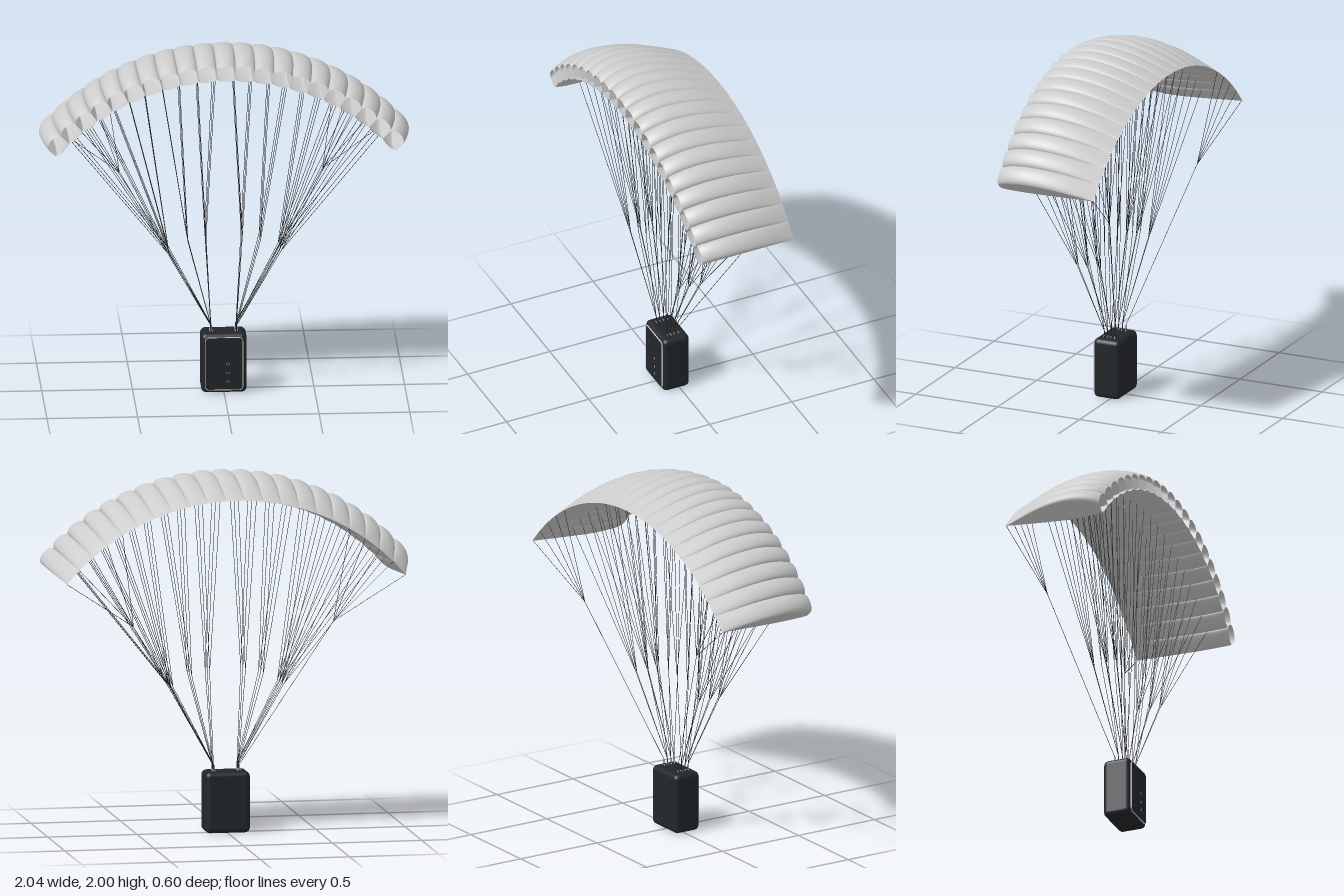
import * as THREE from 'three';
import { mergeGeometries } from 'three/addons/utils/BufferGeometryUtils.js';
import { RoundedBoxGeometry } from 'three/addons/geometries/RoundedBoxGeometry.js';

const CELLS = 21, HALF = 0.867, CY = 0.645, R = 1.245, TAIL = -0.3;
const fabric = new THREE.MeshStandardMaterial({ color: 0xcccccc, side: THREE.DoubleSide });
const dark = new THREE.MeshStandardMaterial({ color: 0x22262a });
const lineMat = new THREE.MeshStandardMaterial({ color: 0x222222 });
const trimMat = new THREE.MeshStandardMaterial({ color: 0xcccccc });

// Wing section: radial offsets along the chord (s = 0 nose, s = 1 tail)
const curve = (pts) => {
  const c = new THREE.SplineCurve(pts.map(([x, y]) => new THREE.Vector2(x, y)));
  const samples = c.getPoints(120);
  return (s) => {
    let i = 1;
    while (i < samples.length - 1 && samples[i].x < s) i++;
    const a = samples[i - 1], b = samples[i];
    return a.y + (b.y - a.y) * THREE.MathUtils.clamp((s - a.x) / (b.x - a.x), 0, 1);
  };
};
const upper = curve([[0, 0.064], [0.08, 0.087], [0.2, 0.105], [0.33, 0.11], [0.5, 0.1], [0.68, 0.074], [0.85, 0.037], [1, 0]]);
const lower = curve([[0, -0.012], [0.08, -0.022], [0.3, -0.027], [0.6, -0.018], [1, 0]]);
const puffAt = (s, u) => Math.sqrt(Math.max(0, 1 - (2 * u - 1) ** 2)) * Math.pow(1 - s, 0.6);

// Point on the skin: t = -1..1 across the span, u = 0..1 inside a cell
function skinPoint(t, s, u, top) {
  const puff = puffAt(s, u);
  const fade = Math.pow(1 - s, 0.6);
  const off = top ? upper(s) - 0.033 * (fade - puff) : lower(s) - 0.014 * puff;
  const a = t * HALF, r = R + off;
  const nose = 0.3 - 0.03 * t * t;
  return new THREE.Vector3(r * Math.sin(a), CY + r * Math.cos(a), nose + (TAIL - nose) * s);
}

// Regular grid of points turned into a smooth surface
function sheet(nu, nv, fn, flip = false) {
  const pos = [], idx = [];
  for (let j = 0; j <= nv; j++)
    for (let i = 0; i <= nu; i++) pos.push(...fn(i / nu, j / nv).toArray());
  for (let j = 0; j < nv; j++)
    for (let i = 0; i < nu; i++) {
      const a = j * (nu + 1) + i, b = a + 1, c = a + nu + 1, d = c + 1;
      if (flip) idx.push(a, c, b, b, c, d);
      else idx.push(a, b, c, b, d, c);
    }
  const g = new THREE.BufferGeometry();
  g.setAttribute('position', new THREE.Float32BufferAttribute(pos, 3));
  g.setIndex(idx);
  g.computeVertexNormals();
  return g;
}

function rod(a, b, r = 0.0014) {
  const g = new THREE.CylinderGeometry(r, r, a.distanceTo(b), 5);
  const q = new THREE.Quaternion().setFromUnitVectors(new THREE.Vector3(0, 1, 0), b.clone().sub(a).normalize());
  return g.applyQuaternion(q).translate(...a.clone().add(b).multiplyScalar(0.5).toArray());
}

export function createModel() {
  const group = new THREE.Group();
  const add = (name, geo, mat, x = 0, y = 0, z = 0) => {
    const m = new THREE.Mesh(geo, mat);
    m.name = name;
    m.position.set(x, y, z);
    group.add(m);
    return m;
  };

  // Canopy skins, one puffed cell at a time, open at the nose
  const tops = [], bottoms = [], ribs = [];
  const edge = (k) => (2 * k) / CELLS - 1;
  for (let k = 0; k < CELLS; k++) {
    const span = (u) => edge(k + u);
    // cosine spacing gives round cell edges
    const ease = (u) => (1 - Math.cos(Math.PI * u)) / 2;
    const skin = (top) => (u, v) => skinPoint(span(ease(u)), v * v * 0.5 + v * 0.5, ease(u), top);
    tops.push(sheet(10, 24, skin(true), true));
    bottoms.push(sheet(10, 24, skin(false)));
  }
  // Ribs between the cells and the closing walls at the tips
  for (let k = 0; k <= CELLS; k++) {
    const wall = (u, v) => {
      const s = v * v * 0.5 + v * 0.5;
      return skinPoint(edge(k), s, 0, false).lerp(skinPoint(edge(k), s, 0, true), u);
    };
    ribs.push(sheet(2, 24, wall, k === 0));
  }
  add('canopyUpperSkin', mergeGeometries(tops), fabric);
  add('canopyLowerSkin', mergeGeometries(bottoms), fabric);
  add('canopyRibs', mergeGeometries(ribs), fabric);

  // Suspension lines: each riser splits at junctions into lines to the ribs
  const V = (x, y, z) => new THREE.Vector3(x, y, z);
  const rows = [[0.155, 0.055], [0.045, 0.035], [-0.09, 0.012]];
  const forks = [
    { at: [0.1, 0.9], ribs: [0, 1] },
    { at: [0.2, 0.88], ribs: [2, 3] },
    { at: [0.305, 0.82], ribs: [4, 5, 6] },
    { at: [0.315, 0.82], ribs: [7, 8, 9] },
  ];
  for (const side of [1, -1]) {
    const lines = [], straps = [];
    const anchor = (n, z) => {
      const t = side * (2 * n + 1) / CELLS, nose = 0.3 - 0.03 * t * t;
      return skinPoint(t, (nose - z) / (nose - TAIL), 0, false);
    };
    for (const [zTop, zBase] of rows) {
      const base = V(side * 0.07, 0.375, zBase);
      for (const f of forks) {
        const mid = V(side * f.at[0], f.at[1], zBase + (zTop - zBase) * 0.46);
        lines.push(rod(base, mid));
        for (const n of f.ribs) lines.push(rod(mid, anchor(n, zTop)));
      }
      straps.push(rod(V(side * 0.07, 0.325, zBase), base, 0.003));
    }
    // Steering lines to the trailing edge
    const base = V(side * 0.07, 0.375, -0.01), fork = V(side * 0.56, 1.19, -0.21);
    lines.push(rod(base, fork));
    for (const n of [6, 7, 8, 9, 10]) lines.push(rod(fork, anchor(n, -0.295)));
    straps.push(rod(V(side * 0.07, 0.325, -0.01), base, 0.003));
    add(side > 0 ? 'leftLines' : 'rightLines', mergeGeometries(lines), lineMat);
    add(side > 0 ? 'leftRisers' : 'rightRisers', mergeGeometries(straps), lineMat);
    // Small clips where the risers meet the case
    for (const z of [0.055, 0.035, 0.012, -0.01]) {
      add('riserClip', new THREE.TorusGeometry(0.007, 0.0018, 6, 14), trimMat, side * 0.07, 0.343, z);
    }
  }

  // Cargo case
  add('caseBody', new RoundedBoxGeometry(0.25, 0.34, 0.16, 5, 0.028), dark, 0, 0.17, 0.02);

  // Raised front panel with a thin bright border
  const roundRect = (w, h, r, Type) => {
    const s = new Type(), x = w / 2, y = h / 2;
    s.absarc(x - r, y - r, r, 0, Math.PI / 2);
    s.absarc(r - x, y - r, r, Math.PI / 2, Math.PI);
    s.absarc(r - x, r - y, r, Math.PI, Math.PI * 1.5);
    s.absarc(x - r, r - y, r, Math.PI * 1.5, Math.PI * 2);
    s.closePath();
    return s;
  };
  const extrude = (s, depth) => new THREE.ExtrudeGeometry(s, { depth, bevelEnabled: false, curveSegments: 6 });
  const border = roundRect(0.21, 0.305, 0.022, THREE.Shape);
  border.holes.push(roundRect(0.204, 0.299, 0.019, THREE.Path));
  add('panelBorder', extrude(border, 0.006), trimMat, 0, 0.17, 0.098);
  add('frontPanel', extrude(roundRect(0.2, 0.295, 0.018, THREE.Shape), 0.007), dark, 0, 0.17, 0.098);
  add('panelSeam', new THREE.BoxGeometry(0.17, 0.002, 0.003), lineMat, 0, 0.147, 0.105);

  // Panel buttons
  for (const y of [0.17, 0.117, 0.07]) {
    add('button', new THREE.CylinderGeometry(0.008, 0.008, 0.009, 16).rotateX(Math.PI / 2), dark, 0.022, y, 0.108);
    add('buttonRing', new THREE.TorusGeometry(0.008, 0.0012, 6, 18), trimMat, 0.022, y, 0.111);
  }
  return group;
}
